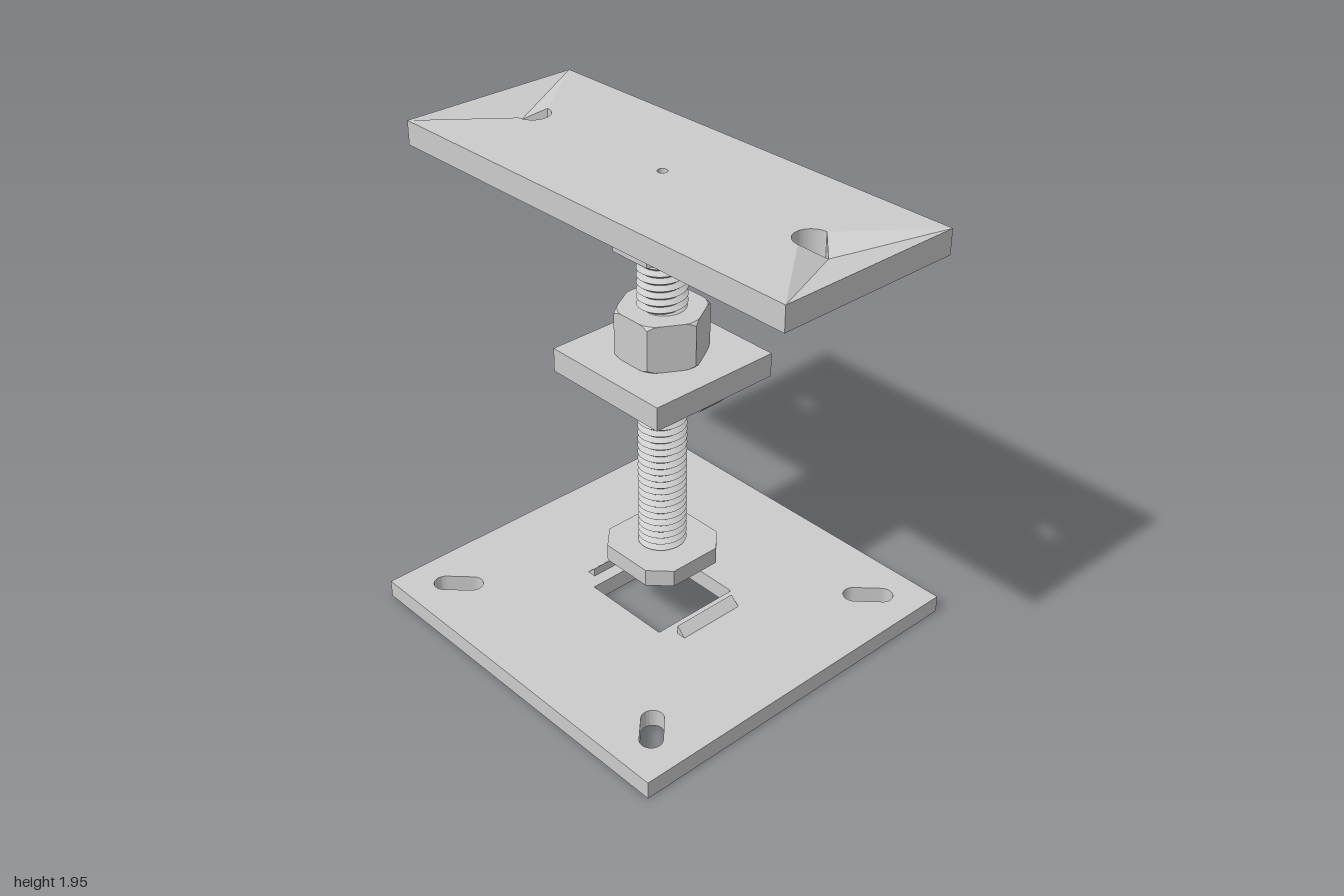
import * as THREE from 'three';
import { toCreasedNormals } from 'three/addons/utils/BufferGeometryUtils.js';
import { ConvexGeometry } from 'three/addons/geometries/ConvexGeometry.js';

const smooth = new THREE.MeshStandardMaterial({ color: 0xcccccc });
const flat = new THREE.MeshStandardMaterial({ color: 0xcccccc, flatShading: true });
const V = (x, y, z) => new THREE.Vector3(x, y, z);
const polygon = (pts) => new THREE.Shape(pts.map(([x, y]) => new THREE.Vector2(x, y)));

// Horizontal slab cut from an outline, with its underside at y0
function slab(shape, y0, height) {
  const g = new THREE.ExtrudeGeometry(shape, { depth: height, bevelEnabled: false, curveSegments: 16 });
  return toCreasedNormals(g.rotateX(-Math.PI / 2).translate(0, y0, 0), 0.5);
}

// Prism along z with a triangular section
function prism(pts, length) {
  const g = new THREE.ExtrudeGeometry(polygon(pts), { depth: length, bevelEnabled: false });
  return g.translate(0, 0, -length / 2);
}

// Hexagonal nut with turned chamfers on the corners
function nutGeometry(radius, chamferRadius, height) {
  const g = new THREE.CylinderGeometry(1, 1, height, 48, 3);
  const p = g.attributes.position;
  for (let i = 0; i < p.count; i++) {
    const x = p.getX(i), y = p.getY(i), z = p.getZ(i);
    if (Math.hypot(x, z) < 0.5) continue;
    const a = Math.atan2(z, x), third = Math.PI / 3;
    const fromFlat = (((a % third) + third) % third) - third / 2;
    const hex = radius * Math.cos(third / 2) / Math.cos(fromFlat);
    const end = Math.abs(y) > height * 0.4;
    const r = end ? Math.min(hex, chamferRadius) : hex;
    const drop = Math.max(0, hex - chamferRadius) * 0.9;
    p.setXYZ(i, r * Math.cos(a), end ? y : Math.sign(y) * (height / 2 - drop), r * Math.sin(a));
  }
  g.computeVertexNormals();
  return g;
}

// Rod whose rings alternate between crest and root and climb one pitch per turn
function threadGeometry(crest, root, pitch, turns, sides = 40) {
  const rows = turns * 2;
  const g = new THREE.CylinderGeometry(1, 1, turns * pitch, sides, rows, true);
  const p = g.attributes.position;
  for (let i = 0; i < p.count; i++) {
    const row = Math.floor(i / (sides + 1)), turn = (i % (sides + 1)) / sides;
    const r = row % 2 ? crest : root;
    p.setXYZ(i, p.getX(i) * r, p.getY(i) + pitch * (turn - 0.5), p.getZ(i) * r);
  }
  return toCreasedNormals(g, 0.5);
}

export function createModel() {
  const model = new THREE.Group();
  const add = (name, geometry, material = smooth, parent = model) => {
    const m = new THREE.Mesh(geometry, material);
    m.name = name;
    parent.add(m);
    return m;
  };

  // Base plate with a square opening and four diagonal slots
  const base = polygon([[-0.8, -0.8], [0.8, -0.8], [0.8, 0.8], [-0.8, 0.8]]);
  base.holes.push(polygon([[-0.2, -0.2], [-0.2, 0.2], [0.2, 0.2], [0.2, -0.2]]));
  for (let k = 0; k < 4; k++) {
    const a = Math.PI / 4 + k * Math.PI / 2, c = Math.cos(a), s = Math.sin(a);
    const slot = new THREE.Path();
    slot.absarc(0.79 * c, 0.79 * s, 0.045, a - Math.PI / 2, a + Math.PI / 2, false);
    slot.absarc(0.905 * c, 0.905 * s, 0.045, a + Math.PI / 2, a - Math.PI / 2, true);
    // Inner end swings away from the outer end
    slot.curves.length = 0;
    slot.absarc(0.905 * c, 0.905 * s, 0.045, a - Math.PI / 2, a + Math.PI / 2, false);
    slot.absarc(0.79 * c, 0.79 * s, 0.045, a + Math.PI / 2, a + Math.PI * 1.5, false);
    slot.closePath();
    base.holes.push(slot);
  }
  add('basePlate', slab(base, 0, 0.075));

  // Locating ridges on the base and matching teeth under the washer plate
  for (const side of [0, Math.PI]) {
    add('baseRidge', prism([[0.255, 0.07], [0.295, 0.07], [0.295, 0.075], [0.255, 0.113]], 0.3), flat).rotation.y = side;
    add('washerTooth', prism([[0.255, 1.072], [0.293, 1.11], [0.255, 1.11]], 0.1), flat).rotation.y = side;
  }

  // Bolt: eight-sided head and threaded rod
  const a = 0.195, b = 0.115;
  add('boltHead', slab(polygon([[a, -b], [a, b], [b, a], [-b, a], [-a, b], [-a, -b], [-b, -a], [b, -a]]), 0.26, 0.073));
  add('threadedRod', threadGeometry(0.098, 0.078, 0.03, 50)).position.y = 1.06;

  // Square washer plate and the lock nut above it
  add('washerPlate', new THREE.BoxGeometry(0.586, 0.1, 0.586), flat).position.y = 1.16;
  add('lockNut', nutGeometry(0.186, 0.172, 0.195), flat).position.y = 1.3075;

  // Upper nut with a weld bead along each flat
  const nut = new THREE.CylinderGeometry(0.186, 0.186, 0.2, 6, 1, false, Math.PI / 2);
  add('upperNut', nut, flat).position.y = 1.75;
  const welds = new THREE.Group();
  welds.name = 'weldBeads';
  model.add(welds);
  for (let k = 0; k < 6; k++) {
    const bead = prism([[0.16, 1.808], [0.203, 1.85], [0.16, 1.85]], 0.186);
    add('weldBead', bead, flat, welds).rotation.y = Math.PI / 6 + k * Math.PI / 3;
  }

  // Top plate: middle part, reaching to the inner half of both end holes
  const y0 = 1.85, y1 = 1.95, hx = 0.735, hr = 0.07, q = Math.PI / 2;
  const top = new THREE.Shape();
  top.moveTo(-1, -0.4);
  top.lineTo(1, -0.4);
  top.absarc(hx, 0, hr, -q, q, true);
  top.lineTo(1, 0.4);
  top.lineTo(-1, 0.4);
  top.absarc(-hx, 0, hr, q, -q, true);
  top.closePath();
  top.holes.push(new THREE.Path().absarc(0, 0, 0.02, 0, Math.PI * 2, true));
  add('topPlate', slab(top, y0, y1 - y0));

  // Plate ends: thin towards a point at mid thickness on the outer rim of each hole
  for (const s of [-1, 1]) {
    const tip = V(0.81 * s, (y0 + y1) / 2, 0);
    const post = (x, z) => [V(x * s, y0, z), V(x * s, y1, z)];
    add('plateEnd', new ConvexGeometry([tip, ...post(1, -0.4), ...post(1, 0.4)]), flat);
    for (const t of [-1, 1])
      add('plateEndFlank', new ConvexGeometry([tip, ...post(1, 0.4 * t), ...post(hx, hr * t)]), flat);
  }
  return model;
}
